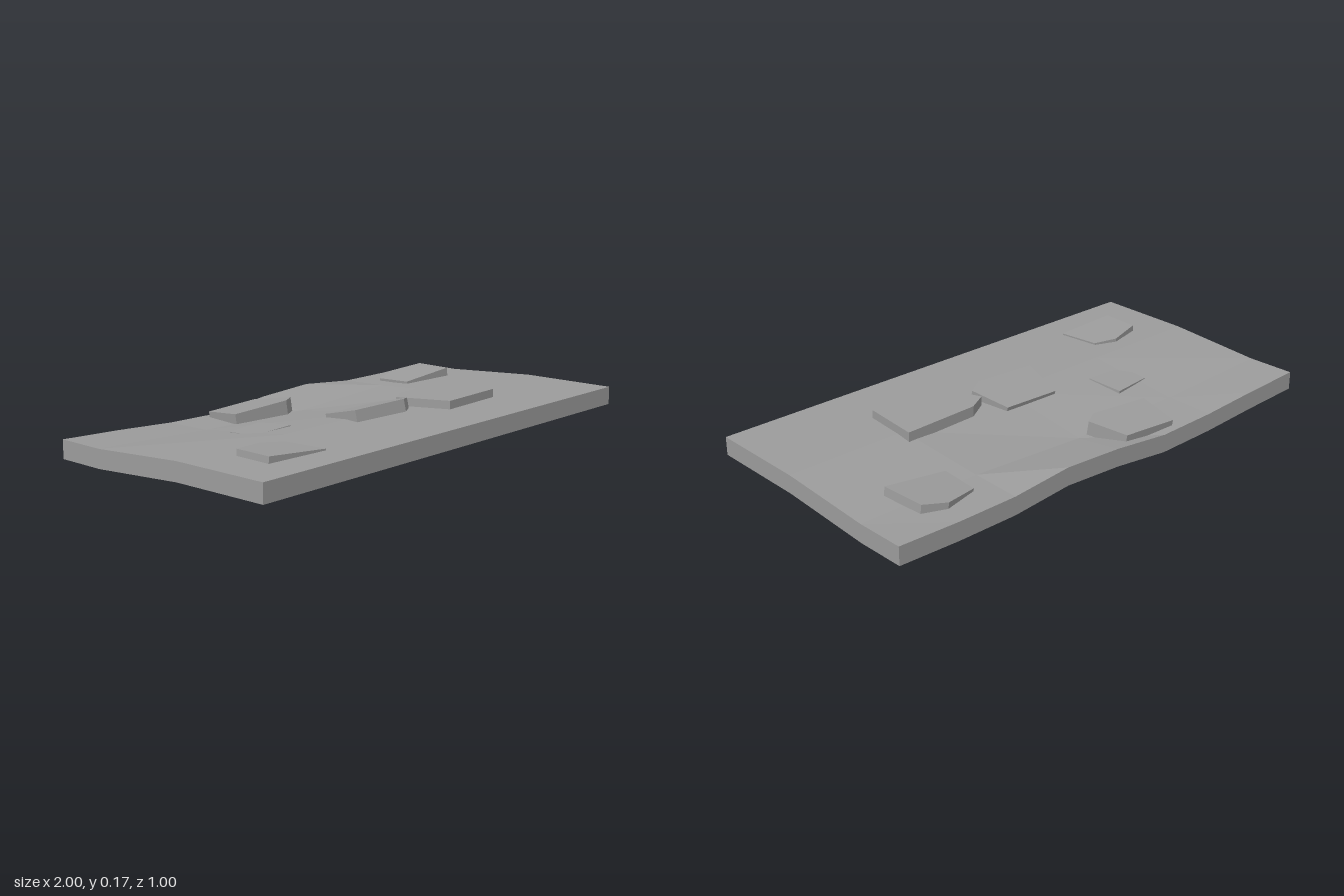
import * as THREE from 'three';

const SKIRT = 0.072;
const FLAT = 0.122;
const STEP = 0.5;
// Ground heights at x = -1, -0.5, 0, 0.5, 1 along the dip and along the row just behind the cut edge
const dipHeights = [0.098, 0.078, 0.07, 0.098, 0.098];
const hiddenHeights = [0.102, 0.074, 0.13, 0.086, 0.102];

const material = new THREE.MeshStandardMaterial({
  color: 0x9c9c9c, flatShading: true, side: THREE.DoubleSide,
});

const row = (heights, z) => heights.map((y, i) => [-1 + i * STEP, y, z]);
const frontRow = row(Array(5).fill(FLAT), 0.5);
const middleRow = row(Array(5).fill(FLAT), 0.1);
const dipRow = row(dipHeights, -0.3);

// Back edge cuts through the last cells, so it has a point on each cell's diagonal too
const backRow = [];
for (let k = 0; k < 9; k++) {
  const y = (hiddenHeights[Math.floor(k / 2)] + dipHeights[Math.ceil(k / 2)]) / 2;
  backRow.push([-1 + k * STEP / 2, y, -0.5]);
}

function surface(name, triangles) {
  const geometry = new THREE.BufferGeometry();
  geometry.setAttribute('position', new THREE.Float32BufferAttribute(triangles.flat(), 3));
  geometry.computeVertexNormals();
  const mesh = new THREE.Mesh(geometry, material);
  mesh.name = name;
  return mesh;
}

// Faceted upper sheet, flat at the front and rolling at the back
function makeGround() {
  const tris = [];
  for (let i = 0; i < 4; i++) {
    for (const [back, front] of [[middleRow, frontRow], [dipRow, middleRow]]) {
      tris.push(back[i], front[i], front[i + 1], back[i], front[i + 1], back[i + 1]);
    }
    const [left, middle, right] = backRow.slice(2 * i, 2 * i + 3);
    const a = dipRow[i], b = dipRow[i + 1];
    tris.push(left, a, b, left, b, middle, middle, b, right);
  }
  return surface('groundSurface', tris);
}

// Skirt hanging from the sheet's rim, open underneath
function makeSkirt() {
  const rim = [
    ...frontRow, middleRow[4], dipRow[4],
    ...[...backRow].reverse(), dipRow[0], middleRow[0],
  ];
  const drop = ([x, y, z]) => [x, y - SKIRT, z];
  const tris = [];
  rim.forEach((p, k) => {
    const q = rim[(k + 1) % rim.length];
    tris.push(p, drop(p), drop(q), p, drop(q), q);
  });
  return surface('groundSkirt', tris);
}

// Flat stone: outline [x, z] about its centre, tilted by its slopes along x and z
function makeStone(name, outline, [x, y, z], slopeX, slopeZ, thickness) {
  const shape = new THREE.Shape(outline.map(([px, pz]) => new THREE.Vector2(px, -pz)));
  const geometry = new THREE.ExtrudeGeometry(shape, { depth: thickness, bevelEnabled: false });
  geometry.rotateX(-Math.PI / 2).translate(0, -thickness, 0);
  const mesh = new THREE.Mesh(geometry, material);
  const normal = new THREE.Vector3(-slopeX, 1, -slopeZ).normalize();
  mesh.quaternion.setFromUnitVectors(new THREE.Vector3(0, 1, 0), normal);
  mesh.position.set(x, y, z);
  mesh.name = name;
  return mesh;
}

// Stone outlines
const wedge = [[-0.13, -0.1], [0.11, -0.09], [0.16, 0.06], [0.1, 0.095], [-0.16, 0.08]];
const gable = [[-0.12, -0.075], [0.02, -0.11], [0.11, -0.075], [0.13, 0.095], [-0.125, 0.08]];
const slab = [[-0.2, -0.07], [-0.12, -0.115], [0.195, -0.125], [0.175, 0.115], [-0.12, 0.13]];
const chip = [[-0.09, -0.055], [0.08, -0.08], [0.095, 0.07], [-0.09, 0.07]];

export function createModel() {
  const group = new THREE.Group();
  group.name = 'rockyGround';
  group.add(
    makeGround(),
    makeSkirt(),
    makeStone('backStone', wedge, [-0.2, 0.114, -0.37], 0.05, 0.12, 0.055),
    makeStone('backRightStone', gable, [0.7, 0.121, -0.305], 0.1, 0.04, 0.05),
    makeStone('frontLeftStone', gable, [-0.7, 0.1375, 0.272], -0.072, 0, 0.045),
    makeStone('middleStone', wedge, [-0.02, 0.146, 0.075], 0, 0.25, 0.057),
    makeStone('largeFlatStone', slab, [0.34, 0.155, 0.15], 0, 0, 0.047),
    makeStone('smallStone', chip, [-0.44, 0.106, -0.085], 0.03, 0.06, 0.05),
  );
  return group;
}
